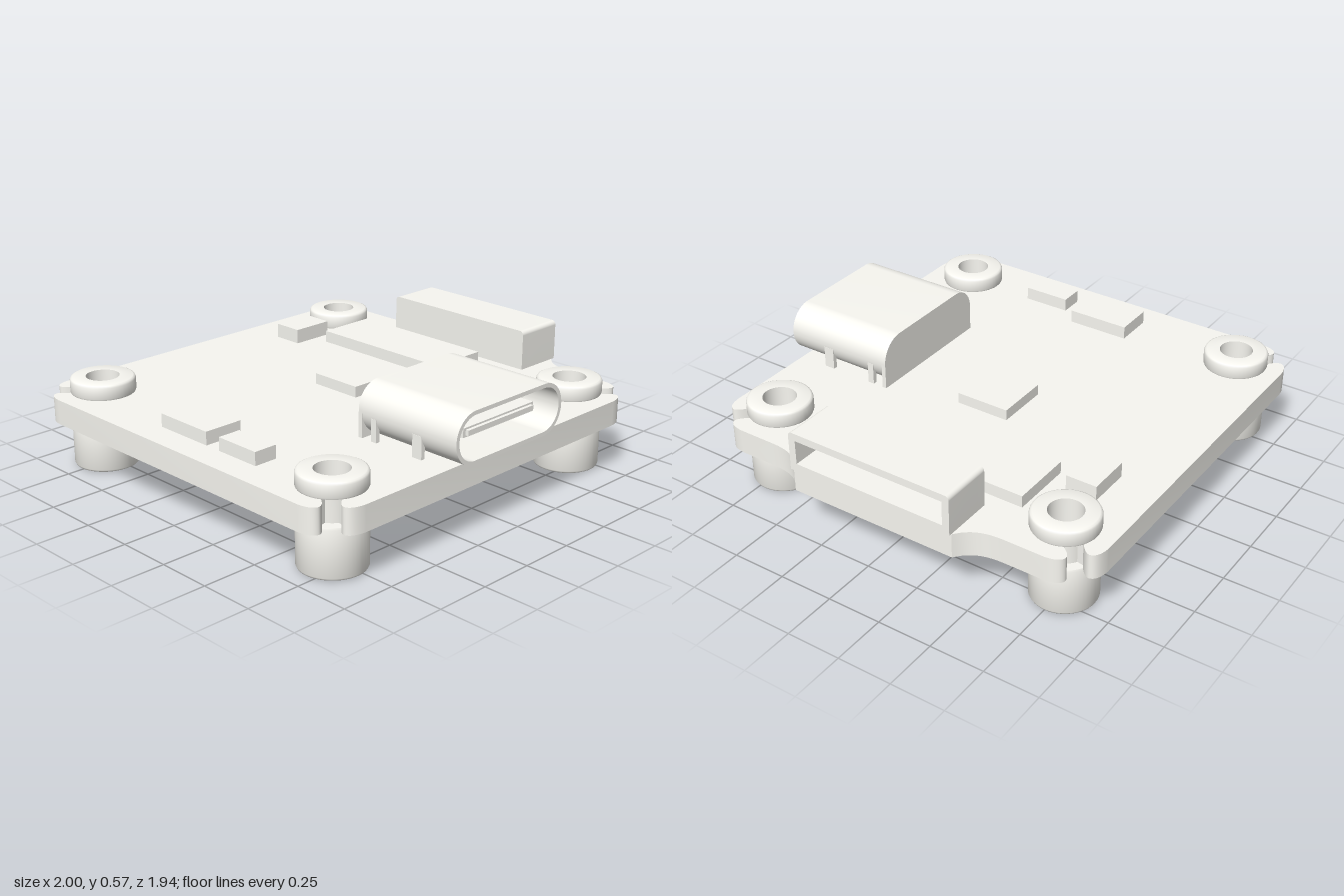
import * as THREE from 'three';
import { toCreasedNormals } from 'three/addons/utils/BufferGeometryUtils.js';

const material = new THREE.MeshStandardMaterial({ color: 0xf8f7f1 });
const CX = -0.048, CZ = -0.021; // middle of the square board
const HALF = 0.951, HOLE = 0.734; // board half width, mount offset
const BOTTOM = 0.226, TOP = 0.34; // board faces

function add(parent, name, geometry) {
  const mesh = new THREE.Mesh(geometry, material);
  mesh.name = name;
  parent.add(mesh);
  return mesh;
}

// Box given by its minimum and maximum on each axis
function block(parent, name, x0, x1, y0, y1, z0, z1) {
  const mesh = add(parent, name, new THREE.BoxGeometry(x1 - x0, y1 - y0, z1 - z0));
  mesh.position.set((x0 + x1) / 2, (y0 + y1) / 2, (z0 + z1) / 2);
}

// Smooth shading with sharp edges; enlarged meanwhile so tiny fillets keep separate corners
function crease(geometry, angle) {
  return toCreasedNormals(geometry.scale(100, 100, 100), angle).scale(0.01, 0.01, 0.01);
}

// Rectangle with separate radii for lower and upper corners
function roundedRect(x0, x1, y0, y1, low, high, Type = THREE.Shape) {
  const s = new Type();
  s.moveTo(x0 + low, y0);
  s.lineTo(x1 - low, y0);
  if (low) s.absarc(x1 - low, y0 + low, low, -Math.PI / 2, 0, false);
  s.lineTo(x1, y1 - high);
  if (high) s.absarc(x1 - high, y1 - high, high, 0, Math.PI / 2, false);
  s.lineTo(x0 + high, y1);
  if (high) s.absarc(x0 + high, y1 - high, high, Math.PI / 2, Math.PI, false);
  s.lineTo(x0, y0 + low);
  if (low) s.absarc(x0 + low, y0 + low, low, Math.PI, Math.PI * 1.5, false);
  return s;
}

function extrude(shape, depth) {
  const g = new THREE.ExtrudeGeometry(shape, { depth, bevelEnabled: false, curveSegments: 20 });
  return crease(g, 0.5);
}

// Board outline: one notched corner turned four times, with a bulge on one side
function boardGeometry() {
  const corner = new THREE.Path();
  corner.moveTo(-HALF, 0.77);
  corner.quadraticCurveTo(-0.945, 0.84, -0.91, 0.845);
  corner.quadraticCurveTo(-0.885, 0.845, -0.85, 0.79);
  corner.absarc(-HOLE, HOLE, 0.1, Math.PI * 5 / 6, Math.PI * 8 / 3, false);
  corner.lineTo(-0.79, 0.85);
  corner.quadraticCurveTo(-0.845, 0.885, -0.845, 0.91);
  corner.quadraticCurveTo(-0.84, 0.945, -0.77, HALF);
  const template = corner.getPoints(12);

  const bulge = new THREE.Path();
  bulge.moveTo(HALF, 0.59);
  bulge.bezierCurveTo(HALF, 0.49, 0.98, 0.44, 1.036, 0.4);
  bulge.lineTo(1.036, -0.4);
  bulge.bezierCurveTo(0.98, -0.44, HALF, -0.49, HALF, -0.59);

  const outline = [];
  for (let k = 0; k < 4; k++) {
    for (const p of template) {
      outline.push(p.clone().rotateAround(new THREE.Vector2(), -k * Math.PI / 2));
    }
    if (k === 1) outline.push(...bulge.getPoints(10));
  }
  const g = extrude(new THREE.Shape(outline), TOP - BOTTOM);
  return g.rotateX(-Math.PI / 2).translate(CX, BOTTOM, CZ);
}

// Hollow rubber mount with a narrow neck held by the board
function mountGeometry() {
  const profile = [
    [0.075, 0], [0.134, 0], [0.142, 0.004], [0.146, 0.012], [0.146, 0.215], [0.143, 0.225],
    [0.1, 0.225], [0.1, 0.341], [0.143, 0.341], [0.146, 0.348], [0.146, 0.398], [0.142, 0.407],
    [0.134, 0.411], [0.075, 0.411], [0.075, 0],
  ].map(([r, y]) => new THREE.Vector2(r, y));
  return crease(new THREE.LatheGeometry(profile, 48), 0.7);
}

// Oval port at the front
function frontPort() {
  const port = new THREE.Group();
  port.name = 'frontPort';
  const x0 = -0.366, x1 = 0.288, y0 = 0.342, y1 = 0.572;
  const shell = roundedRect(x0, x1, y0, y1, 0.113, 0.113);
  const t = 0.018;
  shell.holes.push(roundedRect(x0 + t, x1 - t, y0 + t, y1 - t, 0.095, 0.095, THREE.Path));
  add(port, 'portShell', extrude(shell, 0.512)).position.z = 0.46;
  const back = roundedRect(x0, x1, TOP, y1, 0, 0.113);
  add(port, 'portBack', extrude(back, 0.02)).position.z = 0.44;
  block(port, 'portTongue', -0.256, 0.178, 0.438, 0.478, 0.455, 0.91);
  block(port, 'portTongueTip', -0.241, 0.163, 0.446, 0.47, 0.91, 0.925);
  for (const x of [x0, x1 - 0.02]) {
    block(port, 'rearLeg', x, x + 0.02, BOTTOM + 0.02, 0.44, 0.51, 0.54);
    block(port, 'frontLeg', x, x + 0.02, BOTTOM + 0.02, 0.44, 0.74, 0.79);
  }
  return port;
}

// Long socket that opens to the left side
function sideSocket() {
  const socket = new THREE.Group();
  socket.name = 'sideSocket';
  const frame = roundedRect(-0.384, 0.42, TOP, 0.525, 0, 0.02);
  frame.holes.push(roundedRect(-0.35, 0.386, 0.377, 0.49, 0, 0, THREE.Path));
  const back = roundedRect(-0.384, 0.42, TOP, 0.525, 0, 0.02);
  add(socket, 'socketFrame', extrude(frame, 0.2).rotateY(Math.PI / 2)).position.x = 0.8;
  add(socket, 'socketBack', extrude(back, 0.04).rotateY(Math.PI / 2)).position.x = 0.76;
  return socket;
}

export function createModel() {
  const model = new THREE.Group();
  model.name = 'circuitBoard';
  add(model, 'board', boardGeometry());

  const mount = mountGeometry();
  for (const sx of [-1, 1]) {
    for (const sz of [-1, 1]) {
      add(model, 'mount', mount).position.set(CX + sx * HOLE, 0, CZ + sz * HOLE);
    }
  }
  model.add(frontPort(), sideSocket());

  // Chips on top: x range, z range, top height
  const upper = [
    [-0.872, -0.688, -0.22, 0.072, 0.4],
    [-0.872, -0.763, 0.152, 0.372, 0.4],
    [-0.048, 0.203, -0.15, 0.104, 0.39],
    [0.402, 0.69, -0.553, 0.178, 0.395],
    [0.285, 0.487, -0.773, -0.63, 0.408],
  ];
  for (const [x0, x1, z0, z1, y] of upper) block(model, 'upperChip', x0, x1, TOP - 0.01, y, z0, z1);

  // Chips underneath: x range, z range, lowest height
  const lower = [
    [-0.305, 0.205, -0.26, 0.242, 0.167],
    [-0.25, 0.297, -0.768, -0.598, 0.167],
    [-0.035, 0.287, 0.427, 0.564, 0.167],
    [-0.6, -0.45, -0.434, -0.168, 0.167],
    [0.34, 0.457, -0.43, -0.268, 0.167],
    [0.34, 0.4, 0.03, 0.172, 0.152],
    [-0.43, -0.335, 0.168, 0.347, 0.152],
  ];
  for (const [x0, x1, z0, z1, y] of lower) block(model, 'lowerChip', x0, x1, y, BOTTOM + 0.01, z0, z1);

  return model;
}
